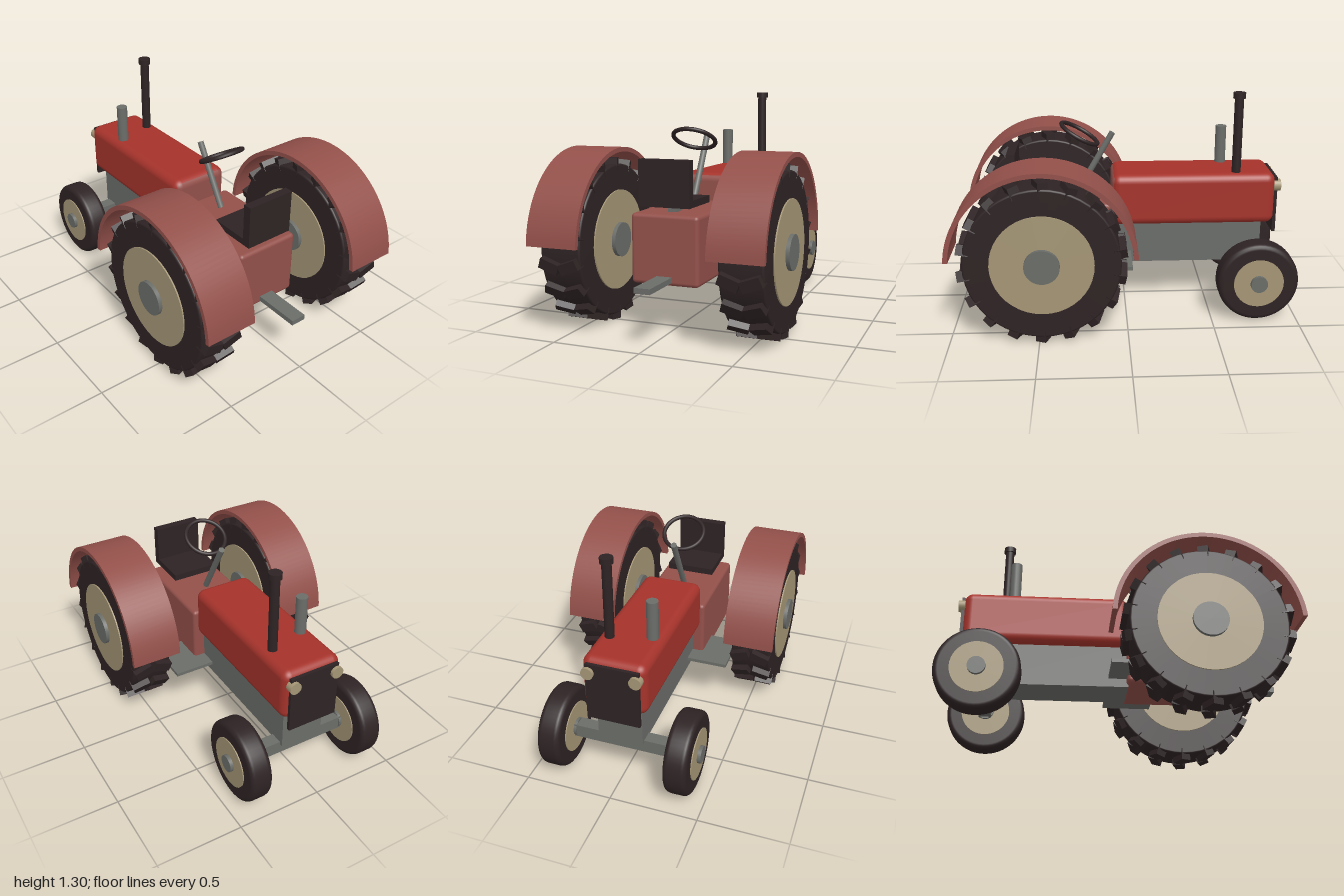
import * as THREE from 'three';
import { toCreasedNormals } from 'three/addons/utils/BufferGeometryUtils.js';
import { RoundedBoxGeometry } from 'three/addons/geometries/RoundedBoxGeometry.js';

const paint = (name, color) => {
  const m = new THREE.MeshStandardMaterial({ color });
  m.name = name;
  return m;
};

export function createModel() {
  const red = paint('hood red', 0xa5332b);
  const rose = paint('faded red', 0x93504a);
  const black = paint('rubber black', 0x2e2324);
  const grey = paint('metal grey', 0x6b6d69);
  const cream = paint('rim cream', 0xa59676);

  const tractor = new THREE.Group();
  tractor.name = 'tractor';

  const add = (name, geometry, material, x = 0, y = 0, z = 0, parent = tractor) => {
    const mesh = new THREE.Mesh(geometry, material);
    mesh.name = name;
    mesh.position.set(x, y, z);
    parent.add(mesh);
    return mesh;
  };
  // Box given by its low and high corners
  const block = (name, material, [x0, y0, z0], [x1, y1, z1]) =>
    add(name, new THREE.BoxGeometry(x1 - x0, y1 - y0, z1 - z0), material,
      (x0 + x1) / 2, (y0 + y1) / 2, (z0 + z1) / 2);
  const upright = (name, material, r, y0, y1, x, z) =>
    add(name, new THREE.CylinderGeometry(r, r, y1 - y0, 16), material, x, (y0 + y1) / 2, z);
  // Disc whose axis runs along x
  const disc = (name, material, r, width, parent, x = 0) =>
    add(name, new THREE.CylinderGeometry(r, r, width, 40).rotateZ(Math.PI / 2), material, x, 0, 0, parent);
  // Solid tyre with rounded shoulders, axis along x
  const tyre = (r, width, shoulder, parent) => {
    const h = width / 2;
    const profile = [new THREE.Vector2(0, -h)];
    for (const side of [-1, 1]) {
      for (let i = 0; i <= 4; i++) {
        const a = (side < 0 ? i - 4 : i) * Math.PI / 8;
        profile.push(new THREE.Vector2(
          r - shoulder + shoulder * Math.cos(a),
          side * (h - shoulder) + shoulder * Math.sin(a)));
      }
    }
    profile.push(new THREE.Vector2(0, h));
    const g = new THREE.LatheGeometry(profile, 48).rotateZ(Math.PI / 2);
    return add('tyre', g, black, 0, 0, 0, parent);
  };

  // Body
  const hood = new RoundedBoxGeometry(0.36, 0.31, 0.97, 4, 0.05);
  add('hood', hood, [red, red, red, red, rose, red], 0, 0.673, -0.405);
  add('rearHousing', new RoundedBoxGeometry(0.394, 0.385, 0.62, 3, 0.022), rose, 0, 0.472, 0.38);
  block('chassis', grey, [-0.13, 0.27, -0.82], [0.13, 0.54, 0.08]);
  block('footPlate', grey, [-0.375, 0.32, -0.035], [0.375, 0.34, 0.26]);
  block('drawbar', grey, [-0.045, 0.3, 0.5], [0.045, 0.33, 0.96]);
  block('grille', black, [-0.15, 0.46, -0.905], [0.15, 0.8, -0.885]);
  for (const s of [-1, 1]) {
    add('headlight', new THREE.CylinderGeometry(0.035, 0.035, 0.04, 20).rotateX(Math.PI / 2),
      cream, s * 0.133, 0.75, -0.903);
  }

  // Stacks on the hood
  upright('exhaustPipe', black, 0.027, 0.75, 1.28, 0.11, -0.66);
  upright('exhaustCap', black, 0.037, 1.27, 1.303, 0.11, -0.66);
  upright('airIntake', grey, 0.033, 0.75, 1.055, -0.112, -0.597);

  // Seat
  block('seatPost', grey, [-0.025, 0.65, 0.5], [0.025, 0.71, 0.58]);
  block('seatCushion', black, [-0.147, 0.703, 0.405], [0.147, 0.742, 0.69]);
  block('seatBack', black, [-0.147, 0.742, 0.64], [0.147, 0.957, 0.69]);

  // Steering
  const column = add('steeringColumn', new THREE.CylinderGeometry(0.018, 0.018, 0.4, 16), grey, 0, 0.875, 0.17);
  column.rotation.x = -Math.PI / 6;
  const wheelRim = add('steeringWheel', new THREE.TorusGeometry(0.122, 0.0125, 10, 40), black, 0, 1.043, 0.265);
  wheelRim.rotation.x = Math.PI / 3;

  // Front axle and wheels
  block('frontAxle', grey, [-0.32, 0.208, -0.8], [0.32, 0.285, -0.725]);
  for (const s of [-1, 1]) {
    const wheel = new THREE.Group();
    wheel.name = 'frontWheel';
    wheel.position.set(s * 0.363, 0.247, -0.762);
    tractor.add(wheel);
    tyre(0.236, 0.132, 0.03, wheel);
    disc('rim', cream, 0.145, 0.144, wheel);
    disc('hub', grey, 0.049, 0.18, wheel, s * 0.002);
  }

  // Rear wheels with chevron treads, under curved fenders
  const lugShape = new THREE.BoxGeometry(0.112, 0.07, 0.06);
  const arch = new THREE.Shape();
  arch.absarc(0, 0, 0.526, 0.06, Math.PI - 0.06, false);
  arch.absarc(0, 0, 0.5, Math.PI - 0.06, 0.06, true);
  const fenderShape = toCreasedNormals(
    new THREE.ExtrudeGeometry(arch, { depth: 0.298, bevelEnabled: false, curveSegments: 28 })
      .translate(0, 0, -0.149).rotateY(Math.PI / 2), 0.5);

  for (const s of [-1, 1]) {
    const wheel = new THREE.Group();
    wheel.name = 'rearWheel';
    wheel.position.set(s * 0.507, 0.47, 0.473);
    tractor.add(wheel);
    tyre(0.434, 0.24, 0.012, wheel);
    disc('rim', cream, 0.286, 0.256, wheel);
    disc('hub', grey, 0.098, 0.3, wheel);

    const count = 18;
    for (let i = 0; i < count; i++) {
      const tread = new THREE.Group();
      tread.name = 'tread';
      tread.rotation.x = i / count * Math.PI * 2;
      wheel.add(tread);
      for (const half of [-1, 1]) {
        add('lug', lugShape, black, half * 0.059, 0.433, 0, tread).rotation.y = half * 0.36;
      }
    }

    add('fender', fenderShape, rose, s * 0.507, 0.474, 0.473);
  }

  return tractor;
}
